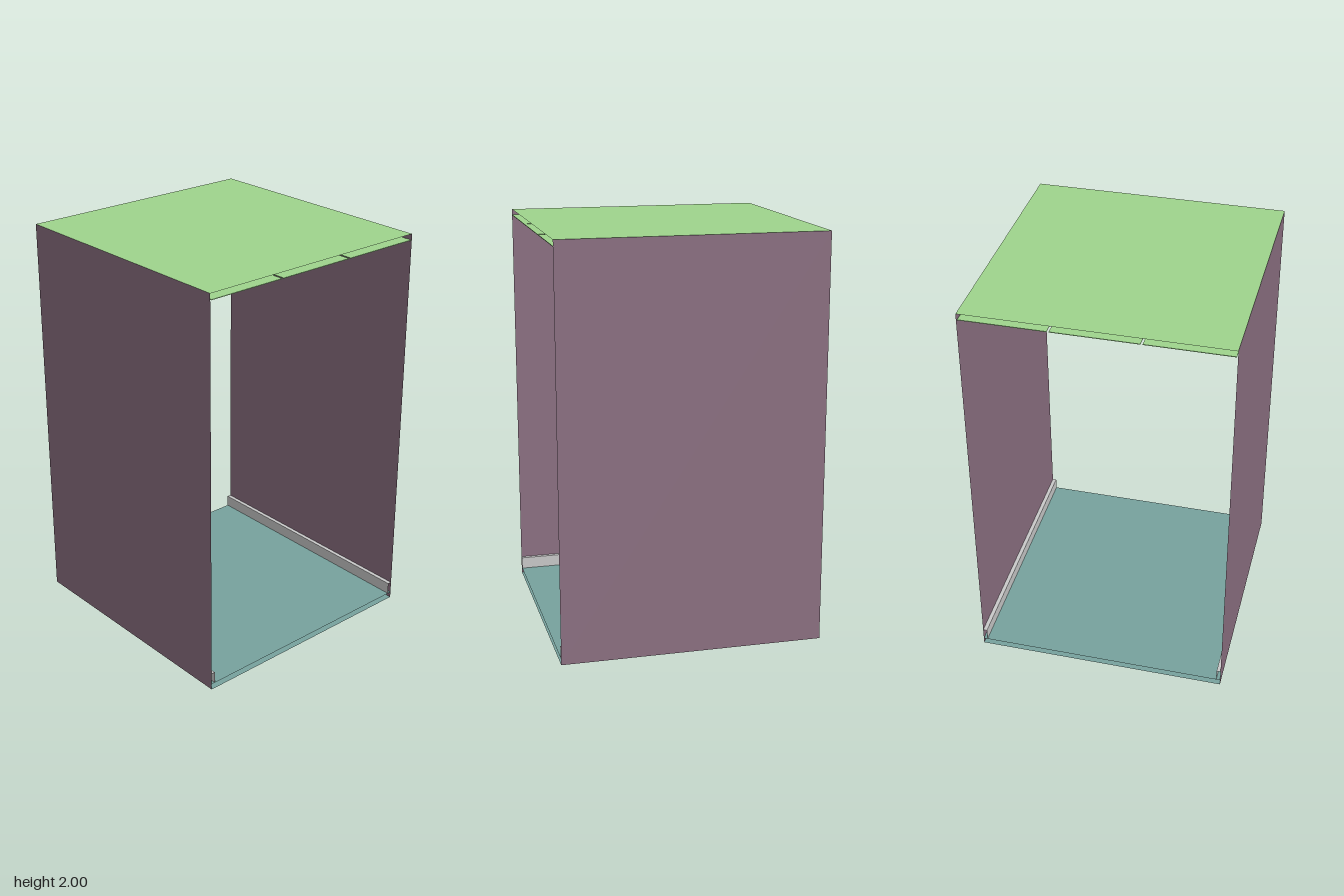
import * as THREE from 'three';

const W = 1.285, H = 2, D = 1.245; // overall width, height, depth
const GAP = 0.03;                  // space between the double layers

const paint = (color) => new THREE.MeshStandardMaterial({ color, side: THREE.DoubleSide });

export function createModel() {
  const model = new THREE.Group();
  const wallMat = paint(0x8d7183), ceilingMat = paint(0xa0d68e);
  const floorMat = paint(0x78a39f), trimMat = paint(0xcccccc);

  const add = (name, geometry, material, x, y, z) => {
    const mesh = new THREE.Mesh(geometry, material);
    mesh.name = name;
    mesh.position.set(x, y, z);
    model.add(mesh);
    return mesh;
  };
  const sheet = (w, d) => new THREE.PlaneGeometry(w, d).rotateX(-Math.PI / 2);

  // Floor: base sheet and raised walking surface, open at the sides
  add('floorBase', sheet(W, D), floorMat, 0, 0, 0);
  add('floorSurface', sheet(W, D), floorMat, 0, GAP, 0);

  // Roof sheet with a grid of 3 x 3 ceiling panels below it
  add('roof', sheet(W, D), ceilingMat, 0, H, 0);
  const seam = 0.01, pw = (W - 2 * seam) / 3, pd = (D - 0.01 - 2 * seam) / 3;
  for (let i = -1; i <= 1; i++) {
    for (let j = -1; j <= 1; j++) {
      add('ceilingPanel', new THREE.BoxGeometry(pw, 0.003, pd), ceilingMat,
        i * (pw + seam), H - GAP, j * (pd + seam));
    }
  }

  // Front and back walls, each with a skirting board on its inner face
  const skirtH = 0.06, skirtD = 0.02;
  for (const [side, s] of [['front', 1], ['back', -1]]) {
    const wall = new THREE.PlaneGeometry(W, H);
    if (s < 0) wall.rotateY(Math.PI);
    add(side + 'Wall', wall, wallMat, 0, H / 2, s * D / 2);

    const face = new THREE.PlaneGeometry(W, skirtH);
    if (s > 0) face.rotateY(Math.PI);
    add(side + 'SkirtingFace', face, trimMat, 0, GAP + skirtH / 2, s * (D / 2 - skirtD));
    add(side + 'SkirtingTop', sheet(W, skirtD), trimMat, 0, GAP + skirtH, s * (D / 2 - skirtD / 2));
  }
  return model;
}
